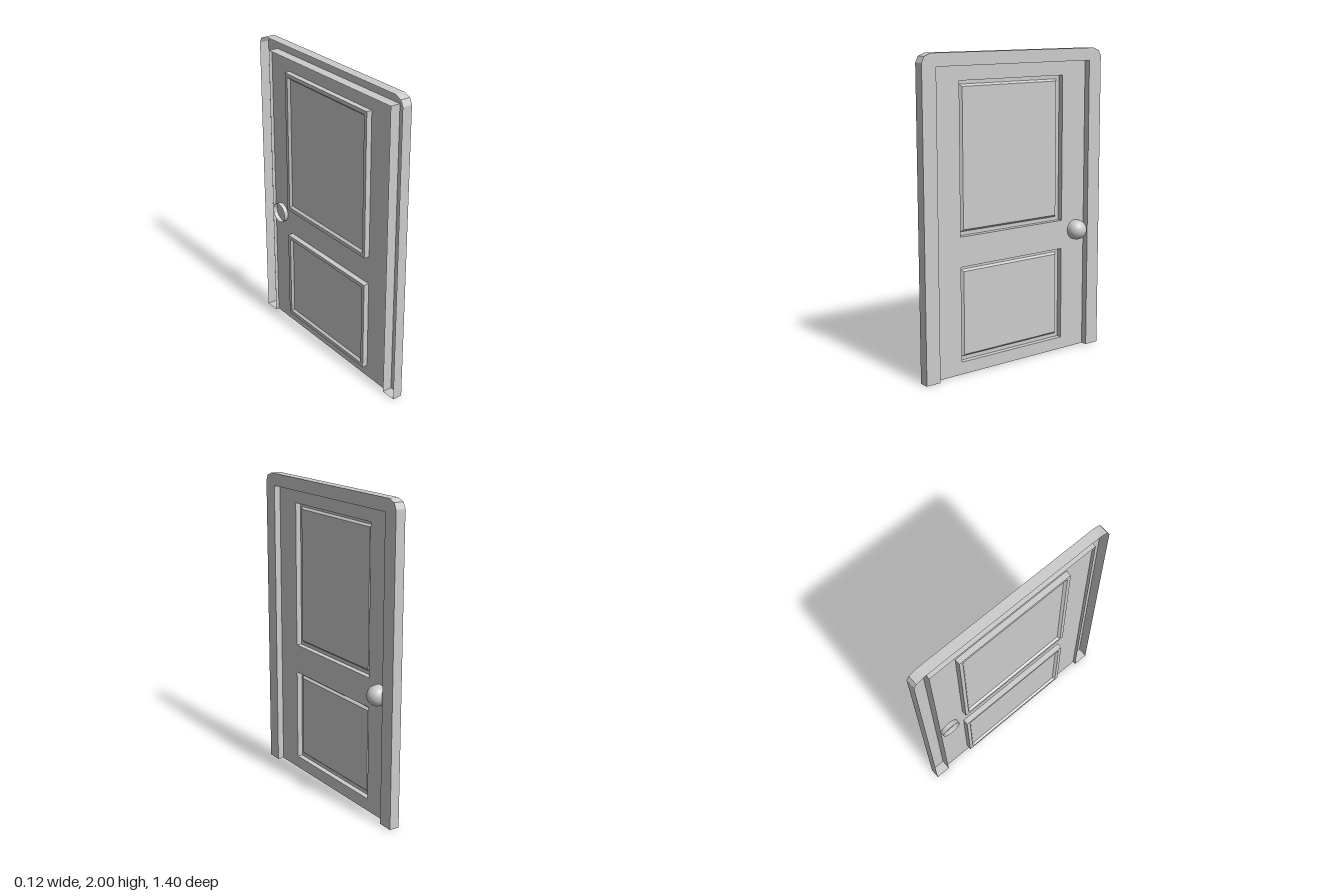
import * as THREE from 'three';

// Everything is drawn in a (u, y) plane with depth d, then turned so depth faces +x.
const FRONT = 0.015, BACK = -0.05, LEAF = -0.027;

const flat = new THREE.MeshStandardMaterial({ color: 0xcccccc, flatShading: true, side: THREE.DoubleSide });
const smooth = new THREE.MeshStandardMaterial({ color: 0xcccccc, side: THREE.DoubleSide });

function add(parent, name, geometry, material = flat) {
  const mesh = new THREE.Mesh(geometry, material);
  mesh.name = name;
  parent.add(mesh);
  return mesh;
}

// Skin between successive outlines; each ring is { d, pts: [[u, y], ...] }
function loft(rings, closed) {
  const pos = [];
  for (let r = 0; r < rings.length - 1; r++) {
    const a = rings[r], b = rings[r + 1], n = a.pts.length;
    for (let i = 0; i < (closed ? n : n - 1); i++) {
      const j = (i + 1) % n;
      const A = [...a.pts[i], a.d], B = [...a.pts[j], a.d];
      const C = [...b.pts[j], b.d], D = [...b.pts[i], b.d];
      pos.push(...A, ...D, ...C, ...A, ...C, ...B);
    }
  }
  const g = new THREE.BufferGeometry();
  g.setAttribute('position', new THREE.Float32BufferAttribute(pos, 3));
  g.computeVertexNormals();
  return g;
}

const rect = (w, y0, y1) => [[-w, y0], [w, y0], [w, y1], [-w, y1]];
const toPoints = pts => pts.map(p => new THREE.Vector2(...p));
const face = (pts, d, holes = []) => {
  const shape = new THREE.Shape(toPoints(pts));
  holes.forEach(h => shape.holes.push(new THREE.Path(toPoints(h))));
  return new THREE.ShapeGeometry(shape).translate(0, 0, d);
};

export function createModel() {
  const model = new THREE.Group();
  model.name = 'door';
  const body = new THREE.Group();
  body.name = 'doorBody';
  body.rotation.y = Math.PI / 2;
  model.add(body);

  // Door frame: a channel open at the back
  const half = [[0.7, 0], [0.7, 1.945], [0.682, 1.982], [0.635, 2]];
  const outer = [...half, ...half.map(([u, y]) => [-u, y]).reverse()];
  const inner = [[0.6, 0], [0.6, 1.92], [-0.6, 1.92], [-0.6, 0]];
  add(body, 'frameFace', face([...outer, ...[...inner].reverse()], FRONT));
  add(body, 'frameOuterWall', loft([{ d: BACK, pts: outer }, { d: FRONT, pts: outer }], false));
  add(body, 'frameInnerWall', loft([{ d: FRONT, pts: inner }, { d: BACK, pts: inner }], false));
  for (const side of [-1, 1]) {
    const foot = add(body, 'frameFoot', new THREE.PlaneGeometry(0.1, FRONT - BACK).rotateX(Math.PI / 2));
    foot.position.set(side * 0.65, 0, (FRONT + BACK) / 2);
  }

  // Door leaf with two sunken panels
  const panels = [[0.08, 0.69], [0.88, 1.83]];
  add(body, 'doorLeaf', face(rect(0.6, 0, 1.92), LEAF, panels.map(([a, b]) => rect(0.408, a, b))));
  for (const [y0, y1] of panels) {
    const ring = (inset, d) => ({ d, pts: rect(0.408 - inset, y0 + inset, y1 - inset) });
    const steps = [ring(0, LEAF), ring(0, -0.063), ring(0.024, -0.063), ring(0.037, -0.048)];
    add(body, 'panelMoulding', loft(steps, true));
    add(body, 'panelField', face(steps[3].pts, steps[3].d));
  }

  // Round knob: an open sleeve through the leaf with a domed end
  const R = 0.065, profile = [new THREE.Vector2(R, -0.056)];
  for (let i = 0; i <= 12; i++) {
    const t = (i / 12) * Math.PI / 2;
    profile.push(new THREE.Vector2(R * Math.cos(t), -0.005 + R * Math.sin(t)));
  }
  const knob = add(body, 'knob', new THREE.LatheGeometry(profile, 32).rotateX(Math.PI / 2), smooth);
  knob.position.set(0.524, 0.806, 0);

  return model;
}
